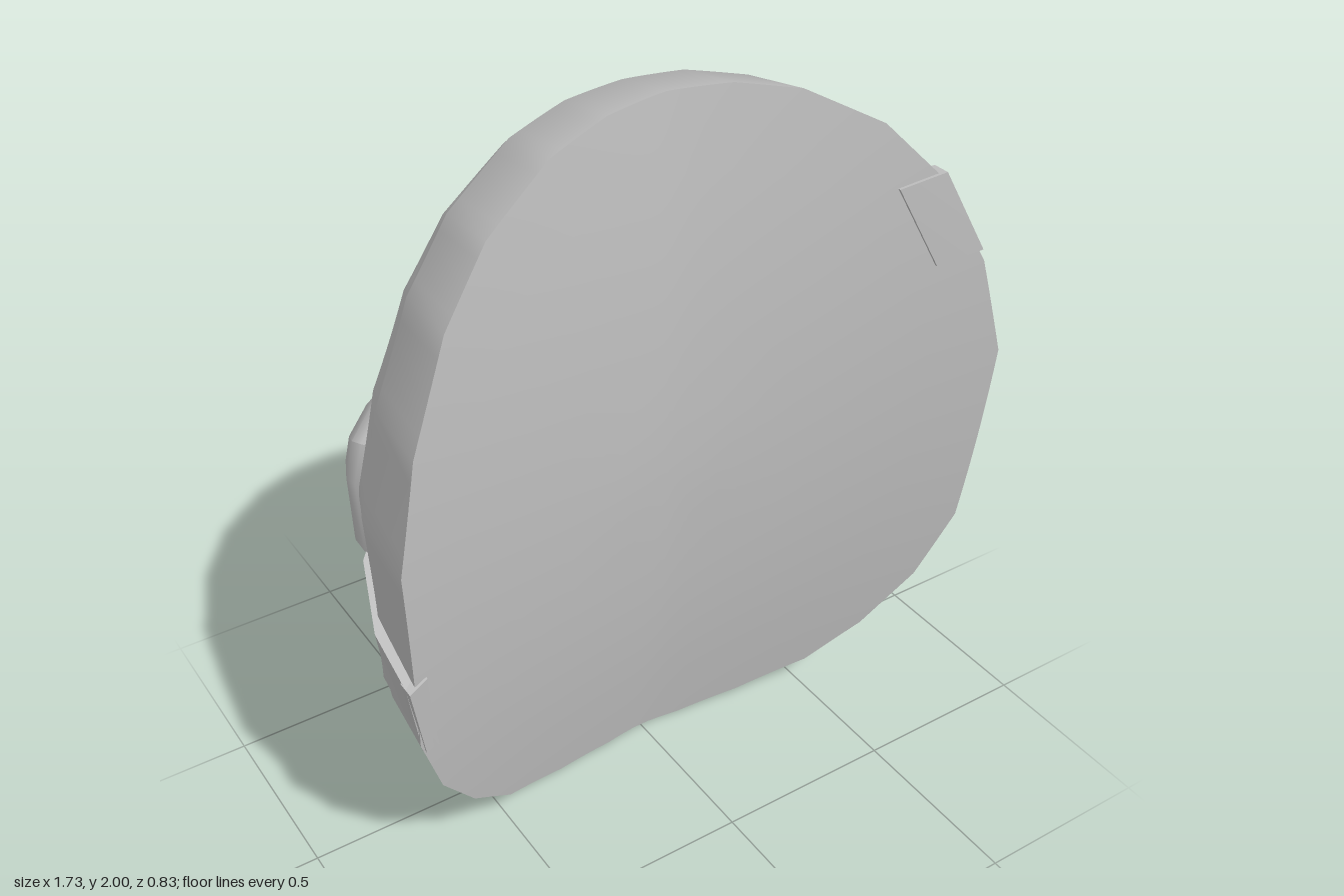
import * as THREE from 'three';
import { toCreasedNormals } from 'three/addons/utils/BufferGeometryUtils.js';

const V = (x, y, z = 0) => new THREE.Vector3(x, y, z);
const grey = new THREE.MeshStandardMaterial({ color: 0xc0c0c0 });
grey.name = 'plain grey';

// Skin over rows of points; every row is a closed loop of equal length
function loft(name, rows, crease) {
  const n = rows[0].length, index = [];
  for (let j = 0; j < rows.length - 1; j++) {
    for (let i = 0; i < n; i++) {
      const a = j * n + i, b = j * n + (i + 1) % n;
      index.push(a, b, b + n, a, b + n, a + n);
    }
  }
  const g = new THREE.BufferGeometry().setFromPoints(rows.flat());
  g.setIndex(index);
  const mesh = new THREE.Mesh(toCreasedNormals(g, crease), grey);
  mesh.name = name;
  return mesh;
}

const centreOf = (pts) => pts.reduce((s, p) => s.add(p), V(0, 0, 0)).divideScalar(pts.length);
const collapse = (pts) => { const c = centreOf(pts); return pts.map(() => c.clone()); };
const capped = (rows) => [collapse(rows[0]), ...rows, collapse(rows[rows.length - 1])];

// Hollow front surface, softly folded along the middle
const frontZ = (x, y) => 0.18 + 0.13 * (Math.hypot(x, 0.06) - 0.06) + 0.18 * x * x - 0.08 * (y - 1.3) ** 2;

// Domed shell with a recessed eye socket
function makeShell() {
  const half = [[0.17, 1.99], [0.34, 1.95], [0.54, 1.84], [0.68, 1.69], [0.8, 1.45], [0.865, 1.18],
    [0.85, 0.9], [0.835, 0.63], [0.76, 0.41], [0.64, 0.23], [0.5, 0.105], [0.3, 0.035], [0.12, 0.003]];
  const loop = [[0, 2], ...half, ...half.map(([x, y]) => [-x, y]).reverse()].map(([x, y]) => V(x, y));
  const outline = loop.flatMap((p, i) => [0, 0.2, 0.4, 0.6, 0.8]
    .map((t) => p.clone().lerp(loop[(i + 1) % loop.length], t)));

  // Dome profile: scale of the outline, then depth at the side, top and bottom
  const profile = [[0.965, 0.16, -0.04, -0.1], [0.88, 0.0, -0.13, -0.255], [0.7, -0.165, -0.235, -0.345],
    [0.47, -0.265, -0.3, -0.36], [0.23, -0.325, -0.335, -0.36], [0, -0.35, -0.35, -0.35]];
  const scaleCurve = new THREE.CatmullRomCurve3(profile.map((p) => V(p[0], 0)), false, 'catmullrom');
  const depthCurve = new THREE.CatmullRomCurve3(profile.map((p) => V(p[1], p[2], p[3])), false, 'catmullrom');

  // Press in an octagon, gathering nearby points along its edge
  const eye = V(0.54, 0.8, -0.18), out = V(0.55, 0, -0.83), across = V(0.83, 0, 0.55), edge = 0.155;
  const socket = (p) => {
    const d = p.clone().sub(eye), u = d.dot(across), v = d.y;
    const r = Math.max(Math.abs(u), Math.abs(v), (Math.abs(u) + Math.abs(v)) * 0.71);
    if (p.z > 0.1 || r > edge + 0.04) return p;
    const wanted = r < edge - 0.04 ? r : r < edge ? edge - 0.008 : edge + 0.008;
    const k = wanted / Math.max(r, 1e-6) - 1;
    p.addScaledVector(across, u * k);
    p.y += v * k;
    return r < edge ? p.addScaledVector(out, -0.07) : p;
  };

  const rows = [];
  for (const s of [0, 0.2, 0.4, 0.6, 0.8, 1]) {
    rows.push(outline.map((p) => {
      const x = p.x * s, y = 1 + (p.y - 1) * s;
      return V(x, y, frontZ(x, y));
    }));
  }
  const steps = 40;
  for (let j = 0; j <= steps; j++) {
    const s = scaleCurve.getPoint(j / steps).x, depth = depthCurve.getPoint(j / steps);
    rows.push(outline.map((p) => {
      const dy = p.y - 1, sin2 = dy * dy / (dy * dy + p.x * p.x);
      let z = depth.x * (1 - sin2) + (dy > 0 ? depth.y : depth.z) * sin2;
      if (dy > 0) z += 0.22 * s * sin2 * (1 - sin2);
      return socket(V(p.x * s, 1 + dy * s, z));
    }));
  }
  return loft('shell', rows, 1);
}

// Slanted strap: upper edge and lower edge of each section
function makeStrap() {
  const sections = [
    [0.69, 1.7, 0.315, 0.795, 1.49, 0.35],
    [0.695, 1.655, 0.04, 0.8, 1.4, 0.1],
    [0.67, 1.635, 0, 0.735, 1.33, -0.05],
    [0.56, 1.55, -0.155, 0.61, 1.24, -0.205],
    [0.4, 1.44, -0.27, 0.45, 1.12, -0.29],
    [0.2, 1.33, -0.35, 0.2, 1.02, -0.365],
    [0, 1.23, -0.375, 0, 0.95, -0.38],
    [-0.2, 1.13, -0.36, -0.2, 0.85, -0.375],
    [-0.42, 1.03, -0.3, -0.4, 0.77, -0.32],
    [-0.62, 0.95, -0.19, -0.58, 0.7, -0.215],
    [-0.77, 0.9, -0.02, -0.74, 0.65, -0.03],
    [-0.85, 0.86, 0.2, -0.81, 0.62, 0.17],
    [-0.868, 0.84, 0.39, -0.825, 0.6, 0.36],
  ];
  const inner = (p) => p.clone().addScaledVector(V(p.x, 0, p.z - 0.35).normalize(), -0.045);
  const rows = sections.map((s) => {
    const top = V(s[0], s[1], s[2]), low = V(s[3], s[4], s[5]);
    return [top, low, inner(low), inner(top)];
  });
  return loft('strap', capped(rows), 0.5);
}

// Strap end folded over the rim: two edges, each an upper and a lower point
function makeStrapEnd(edges) {
  const rows = edges.map(([x1, y1, x2, y2]) => [
    V(x1, y1, frontZ(x1, y1) + 0.008), V(x2, y2, frontZ(x2, y2) + 0.008),
    V(x2, y2, frontZ(x2, y2) - 0.04), V(x1, y1, frontZ(x1, y1) - 0.04)]);
  return loft('strapEnd', capped(rows), 0.5);
}

// Padded half of the eye patch: outline raised along a direction into a soft dome
function makePad(name, points, dir, height) {
  const base = points.map((p) => V(...p)), c = centreOf(base);
  const layer = (scale, lift) => base.map((p) => c.clone().lerp(p, scale).addScaledVector(dir, lift));
  return loft(name, [layer(1, -0.06), layer(1, height * 0.4), layer(0.92, height * 0.8),
    layer(0.6, height + 0.03), collapse(layer(0, height + 0.05))], 1);
}

export function createModel() {
  const model = new THREE.Group();
  model.name = 'mask';
  model.add(makeShell(), makeStrap());
  model.add(makeStrapEnd([[0.575, 1.67, 0.68, 1.45], [0.688, 1.703, 0.79, 1.485]]));
  model.add(makeStrapEnd([[-0.868, 0.84, -0.82, 0.6], [-0.81, 0.845, -0.79, 0.602]]));

  model.add(makePad('upperPatch', [[-0.4, 0.99, -0.27], [-0.6, 0.93, -0.15], [-0.74, 0.92, 0], [-0.75, 1.13, 0.01],
    [-0.72, 1.23, 0], [-0.55, 1.22, -0.19], [-0.35, 1.17, -0.28], [-0.22, 1.1, -0.32]], V(-0.6, 0, -0.8), 0.085));
  model.add(makePad('lowerPatch', [[-0.09, 0.94, -0.34], [-0.08, 0.64, -0.35], [-0.17, 0.48, -0.34],
    [-0.34, 0.42, -0.29], [-0.5, 0.47, -0.22], [-0.62, 0.57, -0.12], [-0.7, 0.68, -0.06], [-0.58, 0.76, -0.18],
    [-0.4, 0.82, -0.28], [-0.2, 0.9, -0.33]], V(-0.35, 0, -0.94), 0.075));

  // Eyeball set in the socket
  const eye = new THREE.Mesh(new THREE.SphereGeometry(0.11, 20, 14), grey);
  eye.name = 'eyeball';
  eye.position.set(0.47, 0.8, -0.15);
  model.add(eye);
  return model;
}
